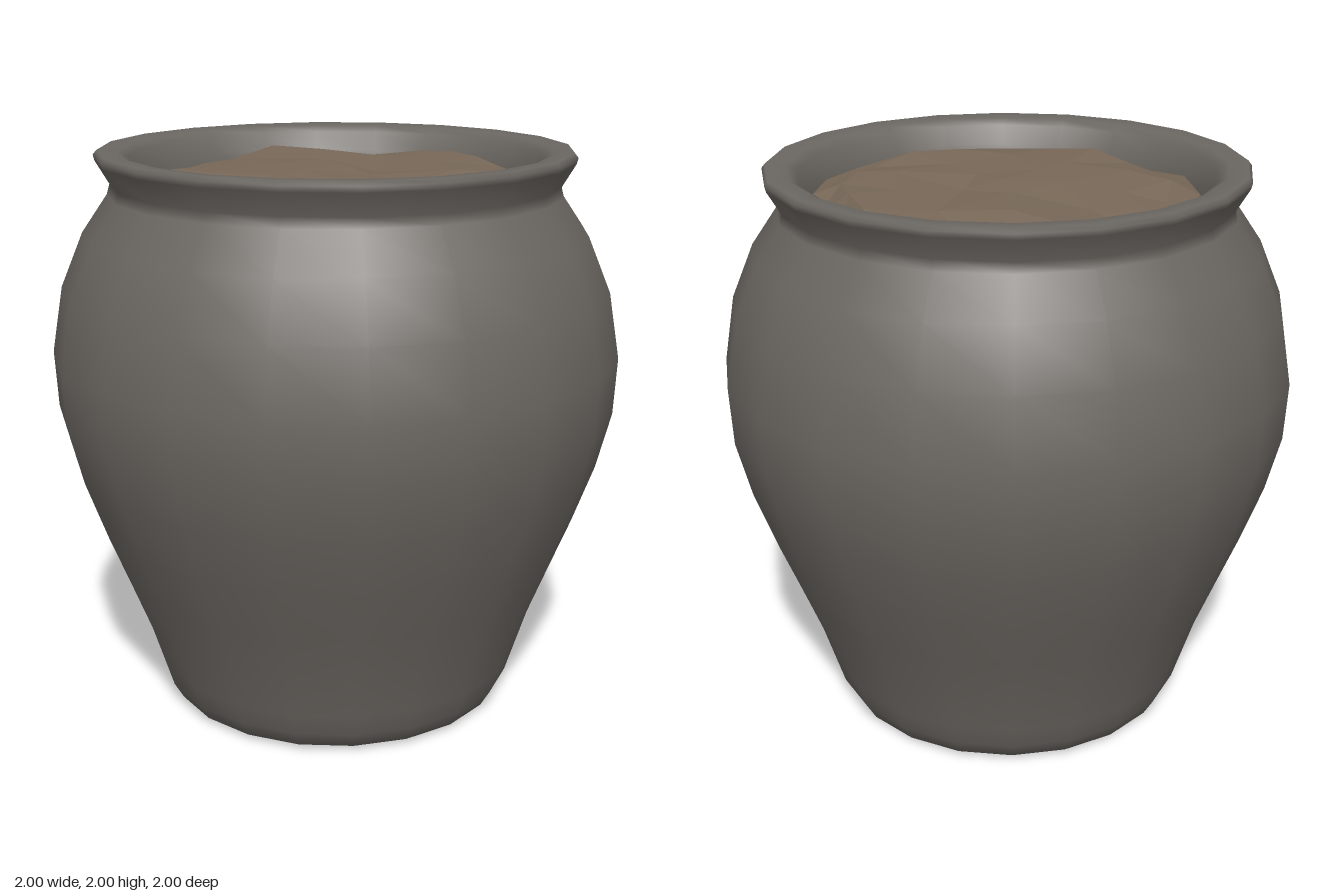
import * as THREE from 'three';

const SIDES = 20;

// Small seeded generator, returns -1..1
function seeded(seed) {
  return () => {
    seed = (seed * 16807) % 2147483647;
    return (seed / 2147483647) * 2 - 1;
  };
}

// Turned pot: hollow foot, swelling body, flared rim and inner lip
function createPot() {
  const profile = [
    [0, 0.1], [0.25, 0.09], [0.38, 0.06], [0.44, 0.02], [0.5, 0],            // hollow foot
    [0.55, 0], [0.61, 0.02], [0.645, 0.08], [0.67, 0.16], [0.72, 0.32],      // base
    [0.79, 0.5], [0.865, 0.69], [0.94, 0.9], [0.99, 1.1], [1, 1.3],          // body
    [0.96, 1.53], [0.88, 1.72], [0.79, 1.85], [0.78, 1.885],                 // shoulder, neck
    [0.827, 1.965], [0.832, 1.985], [0.82, 2],                               // rim
    [0.75, 1.995], [0.715, 1.975], [0.685, 1.91], [0.66, 1.84], [0.65, 1.7]  // inner lip
  ].map(([r, y]) => new THREE.Vector2(r, y));
  const mesh = new THREE.Mesh(
    new THREE.LatheGeometry(profile, SIDES),
    new THREE.MeshStandardMaterial({ color: 0x6b6762 })
  );
  mesh.name = 'pot';
  return mesh;
}

// Lumpy faceted soil: concentric rings that thin out towards the middle
function createSoil() {
  const rand = seeded(4217);
  const layers = [
    { n: 20, r: 0.665, y: 1.88, jitter: 0 },
    { n: 20, r: 0.56, y: 1.92, jitter: 0.035 },
    { n: 10, r: 0.38, y: 1.93, jitter: 0.06 },
    { n: 5, r: 0.17, y: 1.93, jitter: 0.06 }
  ];
  const rings = layers.map(({ n, r, y, jitter }) =>
    Array.from({ length: n }, (_, i) => {
      const a = (i / n) * Math.PI * 2;
      const rr = r + rand() * jitter;
      return [
        Math.sin(a) * rr + rand() * jitter * 0.5,
        y + rand() * 0.02,
        Math.cos(a) * rr + rand() * jitter * 0.5
      ];
    })
  );

  const positions = [];
  const tri = (...corners) => corners.forEach((p) => positions.push(...p));
  for (let k = 0; k < rings.length - 1; k++) {
    const outer = rings[k], inner = rings[k + 1];
    const step = outer.length / inner.length;
    inner.forEach((p, i) => {
      const next = inner[(i + 1) % inner.length];
      const o = (j) => outer[(i * step + j) % outer.length];
      tri(o(0), o(1), p);
      tri(o(1), next, p);
      if (step === 2) tri(o(1), o(2), next);
    });
  }
  const last = rings[rings.length - 1];
  last.forEach((p, i) => tri(p, last[(i + 1) % last.length], [0.02, 1.94, -0.02]));

  const geometry = new THREE.BufferGeometry();
  geometry.setAttribute('position', new THREE.Float32BufferAttribute(positions, 3));
  geometry.computeVertexNormals();
  const mesh = new THREE.Mesh(
    geometry,
    new THREE.MeshStandardMaterial({ color: 0x786858, flatShading: true, side: THREE.DoubleSide })
  );
  mesh.name = 'soil';
  return mesh;
}

export function createModel() {
  const group = new THREE.Group();
  group.name = 'plantPot';
  group.add(createPot(), createSoil());
  return group;
}
